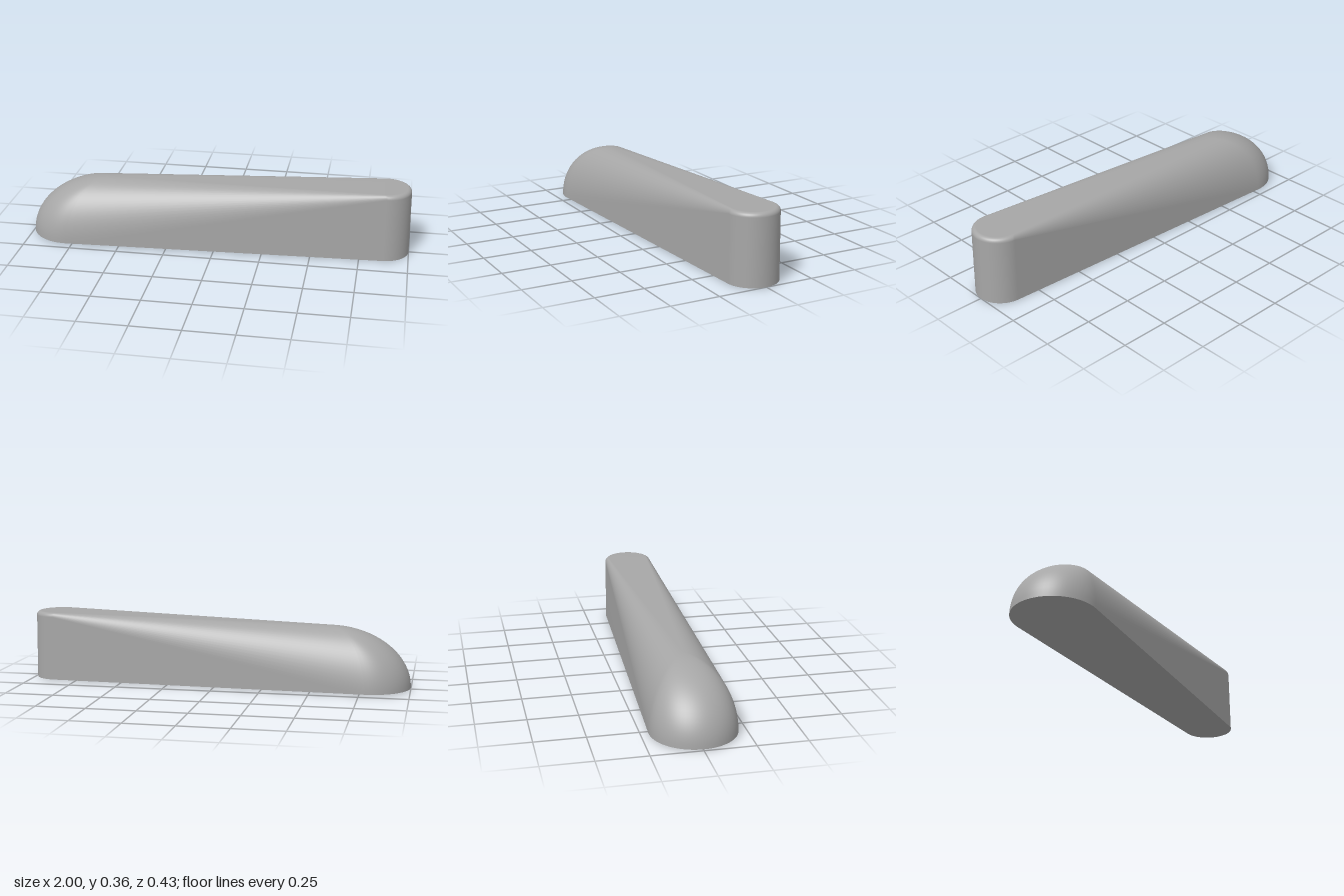
import * as THREE from 'three';
import { mergeVertices } from 'three/addons/utils/BufferGeometryUtils.js';

const ARC = 32;     // segments round each end
const LEVELS = 20;  // steps up the curved shoulder
const baseY = (x) => 0.0035 * (1 - x); // underside is very slightly tilted

// Outline of two circles joined by their common tangents, each end at its own height
function outline(cL, rL, yL, cR, rR, yR) {
  const tilt = Math.asin((rL - rR) / (cR - cL));
  const start = Math.PI / 2 - tilt;
  const pts = [];
  for (let i = 0; i <= ARC; i++) {
    const a = start + (2 * Math.PI - 2 * start) * i / ARC;
    const x = cL + rL * Math.cos(a);
    pts.push([x, yL(x), rL * Math.sin(a)]);
  }
  for (let i = 0; i <= ARC; i++) {
    const a = -start + 2 * start * i / ARC;
    const x = cR + rR * Math.cos(a);
    pts.push([x, yR(x), rR * Math.sin(a)]);
  }
  return pts;
}

function buildGeometry(points, index) {
  const g = new THREE.BufferGeometry();
  g.setAttribute('position', new THREE.Float32BufferAttribute(points.flat(), 3));
  g.setIndex(index);
  const merged = mergeVertices(g, 1e-5);
  merged.computeVertexNormals();
  return merged;
}

export function createModel() {
  const group = new THREE.Group();
  group.name = 'taperedHandle';
  const grey = new THREE.MeshStandardMaterial({ color: 0xa6a6a6 });
  grey.name = 'grey';

  // Stacked outlines: a leaning dome at one end, an upright post with a rounded rim at the other
  const rings = [outline(-0.787, 0.213, baseY, 0.868, 0.132, baseY)];
  for (let k = 0; k <= LEVELS; k++) {
    const phi = Math.PI / 2 * k / LEVELS;
    const c = k === LEVELS ? 0 : Math.cos(phi), s = Math.sin(phi);
    rings.push(outline(
      -0.57 - 0.217 * c, 0.213 * c, (x) => baseY(x) + 0.314 * s,
      0.867, 0.108 + 0.022 * c, () => 0.335 + 0.022 * s));
  }

  // Skin between neighbouring outlines
  const n = rings[0].length;
  const skin = [];
  for (let k = 0; k < rings.length - 1; k++) {
    for (let i = 0; i < n; i++) {
      const a = k * n + i, b = k * n + (i + 1) % n;
      skin.push(b, a, a + n, b, a + n, b + n);
    }
  }
  // Flat top, fanned from the start of the post's rim
  const top = (rings.length - 1) * n, first = ARC + 1;
  for (let i = 1; i < ARC; i++) skin.push(top + first, top + first + i + 1, top + first + i);
  skin.push(top, top + n - 1, top + first);

  const body = new THREE.Mesh(buildGeometry(rings.flat(), skin), grey);
  body.name = 'body';
  group.add(body);

  // Flat underside with its own sharp edge
  const fan = [];
  for (let i = 1; i < n - 1; i++) fan.push(0, i, i + 1);
  const underside = new THREE.Mesh(buildGeometry(rings[0], fan), grey);
  underside.name = 'underside';
  group.add(underside);

  return group;
}
